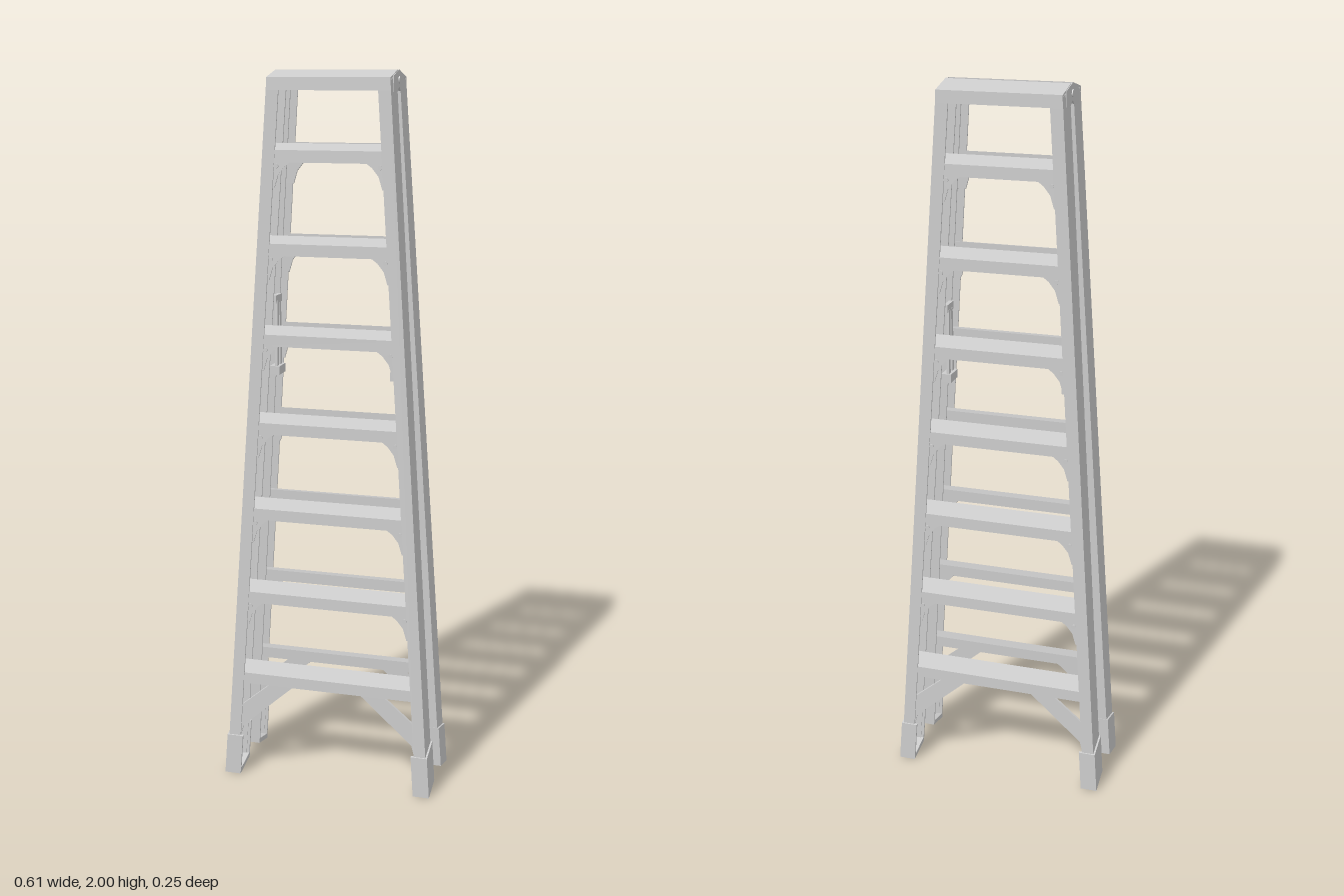
import * as THREE from 'three';

const material = new THREE.MeshStandardMaterial({ color: 0xcccccc, side: THREE.DoubleSide });

// Rules of the leaning frame: outer x and outer z of a rail at a given height
const SLOPE = 0.24, DEPTH = 0.072;
const railX = (y) => 0.3 - 0.0675 * y;
const railZ = (y) => 0.121 - 0.0165 * y;

// u = inset from the outer side, h = height at the outer face, v = inset from the outer face
function lean(u, h, v, side) {
  const y = h + SLOPE * v;
  return [side * (railX(y) - u), y, railZ(y) - v];
}

// Extrude an outline, move each vertex by a rule, and keep the faces pointing outwards
function solid(name, outline, from, to, rule) {
  const shape = new THREE.Shape(outline.map(([a, b]) => new THREE.Vector2(a, b)));
  const geo = new THREE.ExtrudeGeometry(shape, { depth: to - from, bevelEnabled: false });
  const p = geo.attributes.position;
  for (let i = 0; i < p.count; i++) {
    p.setXYZ(i, ...rule(p.getX(i), p.getY(i), p.getZ(i) + from));
  }
  const a = new THREE.Vector3(), b = new THREE.Vector3(), c = new THREE.Vector3();
  let volume = 0;
  const read = (i) => [a, b, c].forEach((w, k) => w.fromBufferAttribute(p, i + k));
  for (let i = 0; i < p.count; i += 3) {
    read(i);
    volume += a.dot(b.clone().cross(c));
  }
  if (volume < 0) {
    for (let i = 0; i < p.count; i += 3) {
      read(i);
      p.setXYZ(i + 1, c.x, c.y, c.z);
      p.setXYZ(i + 2, b.x, b.y, b.z);
    }
  }
  geo.computeVertexNormals();
  const mesh = new THREE.Mesh(geo, material);
  mesh.name = name;
  return mesh;
}

function box(name, size, position) {
  const mesh = new THREE.Mesh(new THREE.BoxGeometry(...size), material);
  mesh.name = name;
  mesh.position.set(...position);
  return mesh;
}

// C-channel section, open towards the middle of the ladder
const channel = (u0, u1, v0, v1, t) => [
  [u0, v0], [u1, v0], [u1, v0 + t], [u0 + t, v0 + t],
  [u0 + t, v1 - t], [u1, v1 - t], [u1, v1], [u0, v1],
];

// Upside-down U section of a step, in depth and height
const tread = (v0, v1, top, drop, t) => [
  [v0, top], [v1, top], [v1, top - drop], [v1 - t, top - drop],
  [v1 - t, top - t], [v0 + t, top - t], [v0 + t, top - drop], [v0, top - drop],
];

function rivet(u, h, side) {
  const mesh = new THREE.Mesh(new THREE.CylinderGeometry(0.006, 0.006, 0.006, 10), material);
  mesh.name = 'rivet';
  mesh.rotation.x = Math.PI / 2;
  mesh.position.set(...lean(u, h, 0.003, side));
  return mesh;
}

function ladderHalf() {
  const half = new THREE.Group();
  const stepTops = Array.from({ length: 7 }, (_, i) => 0.315 + i * 0.2465);

  // Steps
  stepTops.forEach((top) => {
    half.add(solid('step', tread(0.002, DEPTH - 0.006, top, 0.032, 0.005), -1, 1,
      (v, h, s) => lean(0.007, h, v, s).map((c, i) => (i === 0 ? c * Math.abs(s) : c))));
  });

  // Top cap
  half.add(solid('topCap', tread(-0.001, 0.078, 1.981, 0.033, 0.006), -1, 1,
    (v, h, s) => [s * 0.167, h + SLOPE * v, railZ(h + SLOPE * v) - v]));

  for (const side of [-1, 1]) {
    const upright = (u, v, h) => lean(u, h, v, side);
    const plate = (u, h, v) => lean(u, h, v, side);

    // Side rail
    half.add(solid('sideRail', channel(0, 0.034, 0, DEPTH, 0.005), 0.01, 1.973, upright));

    // Foot boot with a solid sole
    half.add(solid('footBoot', channel(-0.005, 0.042, -0.003, 0.075, 0.006), 0.001, 0.12, upright));
    half.add(solid('footSole', [[-0.005, -0.003], [0.042, -0.003], [0.042, 0.075], [-0.005, 0.075]],
      0.001, 0.016, upright));

    // Corner brackets under the upper steps
    stepTops.slice(1).forEach((top) => {
      const y = top - 0.03;
      half.add(solid('stepBracket', [
        [0.008, y], [0.08, y], [0.062, y - 0.014], [0.046, y - 0.036], [0.038, y - 0.07], [0.008, y - 0.07],
      ], 0.004, 0.009, plate));
      half.add(rivet(0.04, y - 0.012, side));
    });

    // Diagonal brace under the lowest step
    half.add(solid('diagonalBrace', [
      [0.186, 0.288], [0.116, 0.288], [0.03, 0.212], [0.012, 0.2], [0.012, 0.115], [0.033, 0.115], [0.04, 0.15],
    ], 0.004, 0.01, plate));

    // Hinge cheek reaching the pivot line
    half.add(solid('hingeCheek', [
      [0, 2], [0.06, 1.986], [0.06, 1.94], [0.016, 1.945], [0.004, 1.955], [0, 1.955],
    ], 0.163, 0.169, (z, y, x) => [side * x, y, z]));
  }
  return half;
}

export function createModel() {
  const model = new THREE.Group();
  model.name = 'stepLadder';

  // Two identical frames standing back to back
  const front = ladderHalf();
  front.name = 'frontFrame';
  const back = ladderHalf();
  back.name = 'backFrame';
  back.rotation.y = Math.PI;
  model.add(front, back);

  for (const side of [-1, 1]) {
    // Hinge pivot at the top
    const pivot = new THREE.Mesh(new THREE.CylinderGeometry(0.01, 0.01, 0.014, 16), material);
    pivot.name = 'hingePivot';
    pivot.rotation.z = Math.PI / 2;
    pivot.position.set(side * 0.165, 1.974, 0);
    model.add(pivot);

    // Folded spreader between the frames
    model.add(box('spreaderTop', [0.012, 0.022, 0.05], [side * 0.172, 1.387, 0]));
    model.add(box('spreaderBottom', [0.028, 0.024, 0.054], [side * 0.172, 1.189, 0]));
    for (const z of [-1, 1]) {
      const bar = box('spreaderBar', [0.007, 0.19, 0.014], [side * 0.169, 1.287, z * 0.012]);
      bar.rotation.x = -z * 0.03;
      model.add(bar);
    }
  }
  return model;
}
